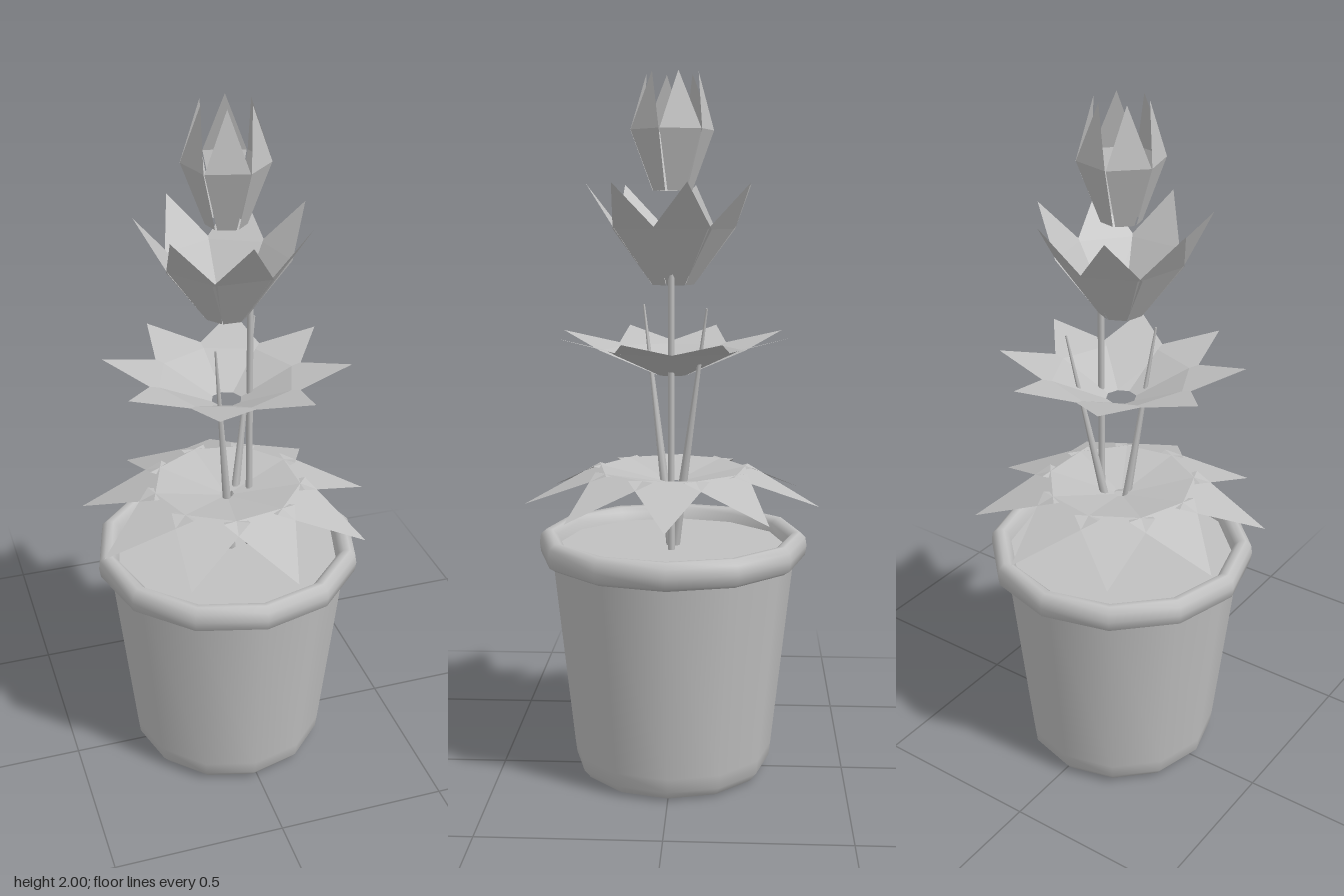
import * as THREE from 'three';

const grey = new THREE.MeshStandardMaterial({ color: 0xc0c0c0, side: THREE.DoubleSide });
grey.name = 'plain grey';

function add(parent, name, geometry) {
  const mesh = new THREE.Mesh(geometry, grey);
  mesh.name = name;
  parent.add(mesh);
  return mesh;
}

function lathe(points) {
  return new THREE.LatheGeometry(points.map(([r, y]) => new THREE.Vector2(r, y)), 12);
}

// Pointed leaf running outward along +x; sections are [radius, height, halfWidth]
function leafGeometry([base, wide, tip]) {
  const corner = ([r, y, w], side) => [r, y, w * side];
  const bl = corner(base, -1), br = corner(base, 1);
  const wl = corner(wide, -1), wr = corner(wide, 1), t = corner(tip, 0);
  const g = new THREE.BufferGeometry();
  const faces = [bl, br, wr, bl, wr, wl, wl, wr, t];
  g.setAttribute('position', new THREE.Float32BufferAttribute(faces.flat(), 3));
  g.computeVertexNormals();
  return g;
}

// Ring of equal leaves; offset in degrees, measured from +x towards +z
function whorl(parent, name, leafName, count, offset, sections) {
  const ring = new THREE.Group();
  ring.name = name;
  const geometry = leafGeometry(sections);
  for (let i = 0; i < count; i++) {
    const leaf = add(ring, leafName, geometry);
    leaf.rotation.y = -THREE.MathUtils.degToRad(offset + (i * 360) / count);
  }
  parent.add(ring);
}

// Straight tapered stem between two points
function stem(parent, from, to, r0, r1) {
  const a = new THREE.Vector3(...from), b = new THREE.Vector3(...to);
  const dir = b.clone().sub(a);
  const mesh = add(parent, 'stem', new THREE.CylinderGeometry(r1, r0, dir.length(), 6));
  mesh.position.copy(a).add(b).multiplyScalar(0.5);
  mesh.quaternion.setFromUnitVectors(new THREE.Vector3(0, 1, 0), dir.normalize());
}

export function createModel() {
  const model = new THREE.Group();
  model.name = 'pottedPlant';
  const body = new THREE.Group();
  body.name = 'plantAndPot';
  body.position.x = -0.013;
  model.add(body);

  // Pot
  add(body, 'potWall', lathe([[0.265, 0.005], [0.285, 0.03], [0.29, 0.07], [0.352, 0.64]]));
  add(body, 'potBase', lathe([[0, 0], [0.25, 0], [0.265, 0.005]]));
  add(body, 'potRim', lathe([
    [0.345, 0.635], [0.365, 0.63], [0.384, 0.642], [0.388, 0.67], [0.384, 0.695],
    [0.368, 0.71], [0.35, 0.708], [0.335, 0.695], [0.326, 0.66],
  ]));
  const soil = add(body, 'soil', new THREE.CircleGeometry(0.335, 12));
  soil.rotation.x = -Math.PI / 2;
  soil.position.y = 0.67;

  // Stems
  stem(body, [0.068, 0.66, 0], [0.068, 1.5, 0], 0.01, 0.009);
  stem(body, [0.012, 0.66, 0.0], [-0.057, 1.36, 0.085], 0.016, 0.003);
  stem(body, [0.008, 0.66, -0.005], [0.113, 1.36, -0.1], 0.016, 0.003);

  // Leaves and petals, from the lowest ring to the bud
  whorl(body, 'lowerLeaves', 'leaf', 9, 0,
    [[0.02, 0.855, 0.015], [0.2, 0.895, 0.112], [0.425, 0.8, 0]]);
  whorl(body, 'middleLeaves', 'leaf', 8, 20,
    [[0.04, 1.165, 0.02], [0.18, 1.235, 0.1], [0.345, 1.28, 0]]);
  whorl(body, 'openPetals', 'petal', 7, -12,
    [[0.055, 1.42, 0.025], [0.155, 1.575, 0.082], [0.243, 1.7, 0]]);
  whorl(body, 'budPetals', 'petal', 6, 45,
    [[0.05, 1.68, 0.025], [0.103, 1.845, 0.058], [0.075, 2, 0]]);

  return model;
}
